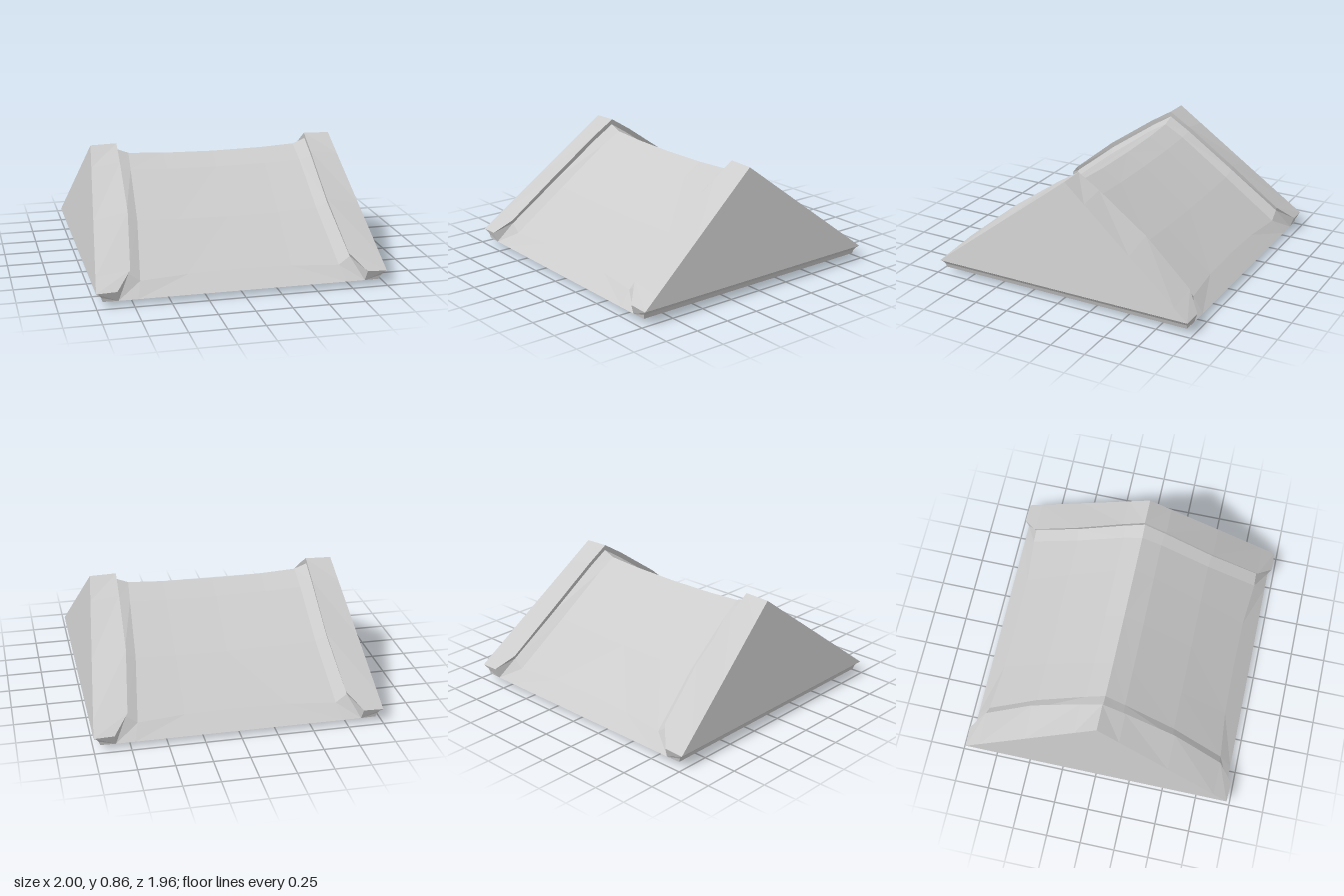
import * as THREE from 'three';

// One entry per station from ridge to eave: [x, y, z] of each running line.
const middle = [[0, 0.76, 0], [0, 0.678, 0.14], [0, 0.415, 0.5], [0, 0.145, 0.835], [0, 0.035, 0.955]];
const crease = [[0.61, 0.78, 0], [0.62, 0.695, 0.14], [0.64, 0.43, 0.5], [0.69, 0.13, 0.87], [0.72, 0.035, 0.955]];
const lipFoot = [[0.7, 0.815, 0], [0.705, 0.72, 0.15], [0.717, 0.468, 0.51], [0.768, 0.185, 0.865], [0.85, 0.035, 0.955]];
const lipTop = [[0.695, 0.855, 0], [0.698, 0.755, 0.16], [0.708, 0.503, 0.52], [0.757, 0.212, 0.875], [0.86, 0.107, 0.98]];
const bottomY = [0, 0.002, 0.006, 0.02, 0.035];

// Cross-section of one quarter: roof middle, up over the verge, down the gable, under the base.
function station(i) {
  const m = middle[i], c = crease[i], z = lipTop[i][2] * 0.995;
  const y = 0.85 - 0.75 * z / 0.975;
  const edgeX = 1 - 0.12 * (y - 0.1) / 0.75;
  const mid = [0.36, m[1] + (c[1] - m[1]) * 0.3, m[2] + (c[2] - m[2]) * 0.15];
  return [
    m, mid, c, lipFoot[i], lipTop[i],
    [edgeX, y, z],
    [1, 0.1, z],
    [0.98, 0.086, z * 0.99],
    [0.965, 0.065, z * 0.98],
    [0.955, 0.035, z * 0.975],
    [0.9, bottomY[i] + 0.008 * (1 - i / 4), z * 0.978],
    [0, bottomY[i], z * 0.98],
  ];
}

// Skins columns j0..j1 of the stations, mirrored into all four quarters.
function skin(name, j0, j1, rows, extra = []) {
  const tris = [...extra];
  for (let i = 0; i < rows.length - 1; i++) {
    for (let j = j0; j < j1; j++) {
      const a = rows[i][j], b = rows[i + 1][j], c = rows[i + 1][j + 1], d = rows[i][j + 1];
      tris.push([a, b, c], [a, c, d]);
    }
  }
  const pos = [];
  for (const sx of [1, -1]) for (const sz of [1, -1]) {
    for (const [a, b, c] of tris) {
      const order = sx * sz > 0 ? [a, b, c] : [a, c, b];
      for (const p of order) pos.push(p[0] * sx, p[1], p[2] * sz);
    }
  }
  const geometry = new THREE.BufferGeometry();
  geometry.setAttribute('position', new THREE.Float32BufferAttribute(pos, 3));
  geometry.computeVertexNormals();
  const mesh = new THREE.Mesh(geometry, new THREE.MeshStandardMaterial({ color: 0xcccccc, flatShading: true }));
  mesh.name = name;
  return mesh;
}

export function createModel() {
  const group = new THREE.Group();
  group.name = 'gableRoof';
  const rows = middle.map((_, i) => station(i));

  // Small faces closing the verge ends at the eave corners
  const end = rows[rows.length - 1];
  const corner = [];
  for (let j = 4; j < 10; j++) corner.push([end[3], end[j + 1], end[j]]);

  group.add(skin('roofSlopes', 0, 3, rows));
  group.add(skin('raisedVerges', 3, 5, rows));
  group.add(skin('gableEnds', 5, 6, rows));
  group.add(skin('base', 6, 11, rows, corner));
  return group;
}
